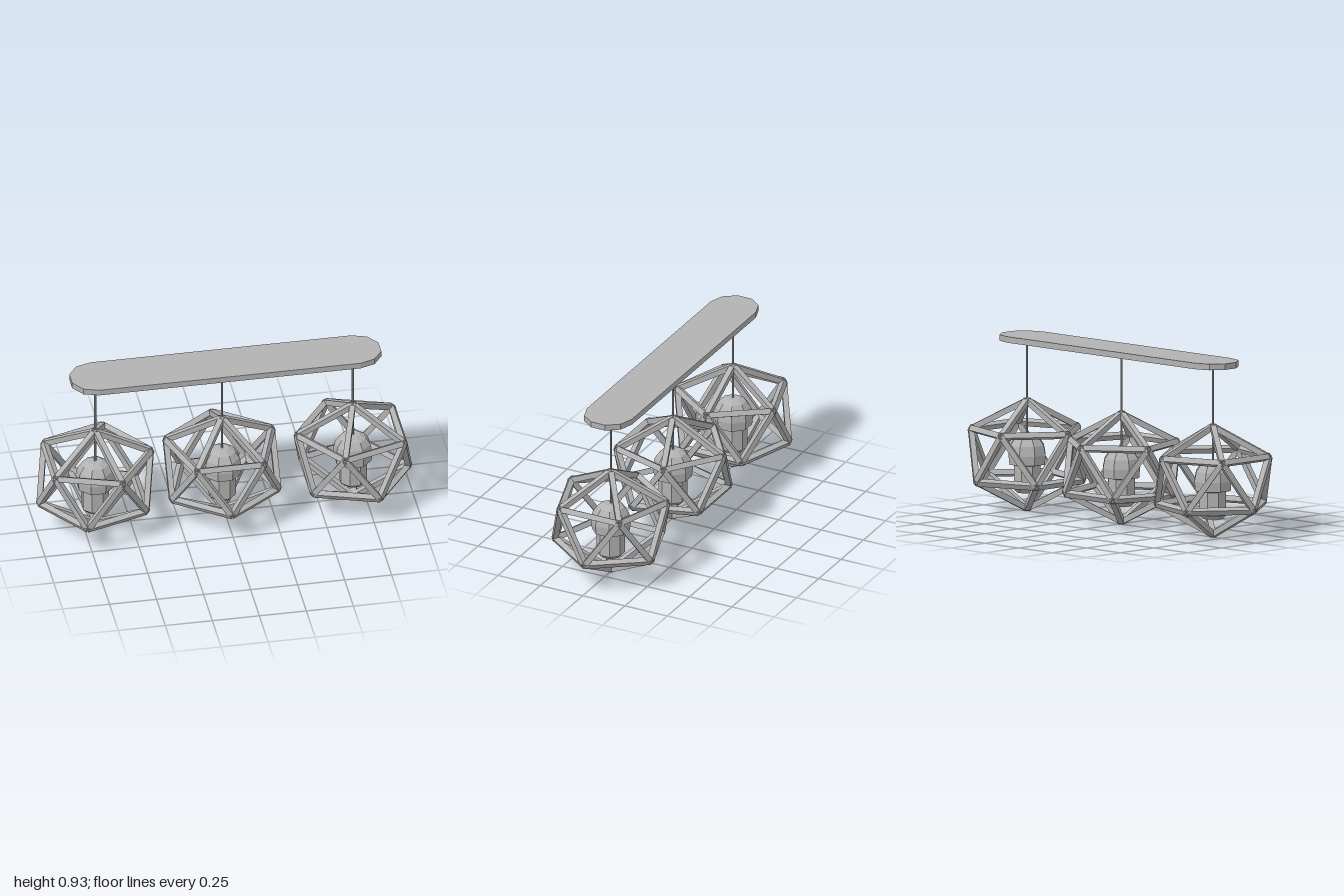
import * as THREE from 'three';

const grey = new THREE.MeshStandardMaterial({ color: 0xb2b2b2, flatShading: true });
grey.name = 'brushed grey';

const CENTRE_Y = 0.3, APEX = 0.286, RING_R = 0.296, RING_Y = 0.13, BAR = 0.03;

function add(parent, geometry, name, x = 0, y = 0, z = 0) {
  const mesh = new THREE.Mesh(geometry, grey);
  mesh.name = name;
  mesh.position.set(x, y, z);
  parent.add(mesh);
  return mesh;
}

// Square bar between two cage corners, one face turned away from the cage centre
function addBar(cage, a, b) {
  const along = b.clone().sub(a);
  const length = along.length();
  along.normalize();
  const middle = a.clone().add(b).multiplyScalar(0.5);
  const out = middle.clone().addScaledVector(along, -middle.dot(along)).normalize();
  const side = along.clone().cross(out);
  const bar = add(cage, new THREE.BoxGeometry(length, BAR, BAR), 'cageBar');
  bar.quaternion.setFromRotationMatrix(new THREE.Matrix4().makeBasis(along, out, side));
  bar.position.copy(middle);
}

// Twenty-sided open cage; turn is the heading of one lower corner
function makeCage(turn) {
  const cage = new THREE.Group();
  cage.name = 'cage';
  cage.position.y = CENTRE_Y;
  const ring = (y, start) => Array.from({ length: 5 }, (_, k) => {
    const t = start + k * Math.PI * 0.4;
    return new THREE.Vector3(Math.sin(t) * RING_R, y, Math.cos(t) * RING_R);
  });
  const low = ring(-RING_Y, turn), high = ring(RING_Y, turn + Math.PI / 5);
  const top = new THREE.Vector3(0, APEX, 0), bottom = new THREE.Vector3(0, -APEX, 0);
  for (let k = 0; k < 5; k++) {
    const n = (k + 1) % 5;
    addBar(cage, top, high[k]);
    addBar(cage, bottom, low[k]);
    addBar(cage, high[k], high[n]);
    addBar(cage, low[k], low[n]);
    addBar(cage, low[k], high[k]);
    addBar(cage, high[k], low[n]);
  }
  return cage;
}

function makePendant(x, turn) {
  const pendant = new THREE.Group();
  pendant.name = 'pendant';
  pendant.position.x = x;
  pendant.add(makeCage(turn));
  add(pendant, new THREE.CylinderGeometry(0.006, 0.006, 0.51, 8), 'rod', 0, 0.65);
  // Faceted bulb with its narrower neck
  const profile = [[0, 0.1], [0.055, 0.1], [0.075, 0.12], [0.075, 0.245], [0.1, 0.25],
    [0.105, 0.3], [0.095, 0.35], [0.07, 0.385], [0.038, 0.402], [0, 0.403]];
  const bulb = new THREE.LatheGeometry(profile.map(([r, y]) => new THREE.Vector2(r, y)), 8, Math.PI / 8);
  add(pendant, bulb, 'bulb');
  return pendant;
}

// Long ceiling plate with five-sided rounded ends
function makePlate() {
  const r = 0.133, half = 0.695, points = [];
  for (const end of [1, -1]) {
    for (let i = 0; i <= 5; i++) {
      const t = -Math.PI / 2 + i * Math.PI / 5;
      points.push(new THREE.Vector2(end * (half + r * Math.cos(t)), end * r * Math.sin(t)));
    }
  }
  const plate = new THREE.ExtrudeGeometry(new THREE.Shape(points), { depth: 0.032, bevelEnabled: false });
  return plate.rotateX(-Math.PI / 2);
}

export function createModel() {
  const model = new THREE.Group();
  model.name = 'pendantLamp';
  add(model, makePlate(), 'ceilingPlate', 0.005, 0.901);
  model.add(makePendant(-0.687, -Math.PI / 2));
  model.add(makePendant(-0.013, 0));
  model.add(makePendant(0.683, Math.PI / 2));
  return model;
}
